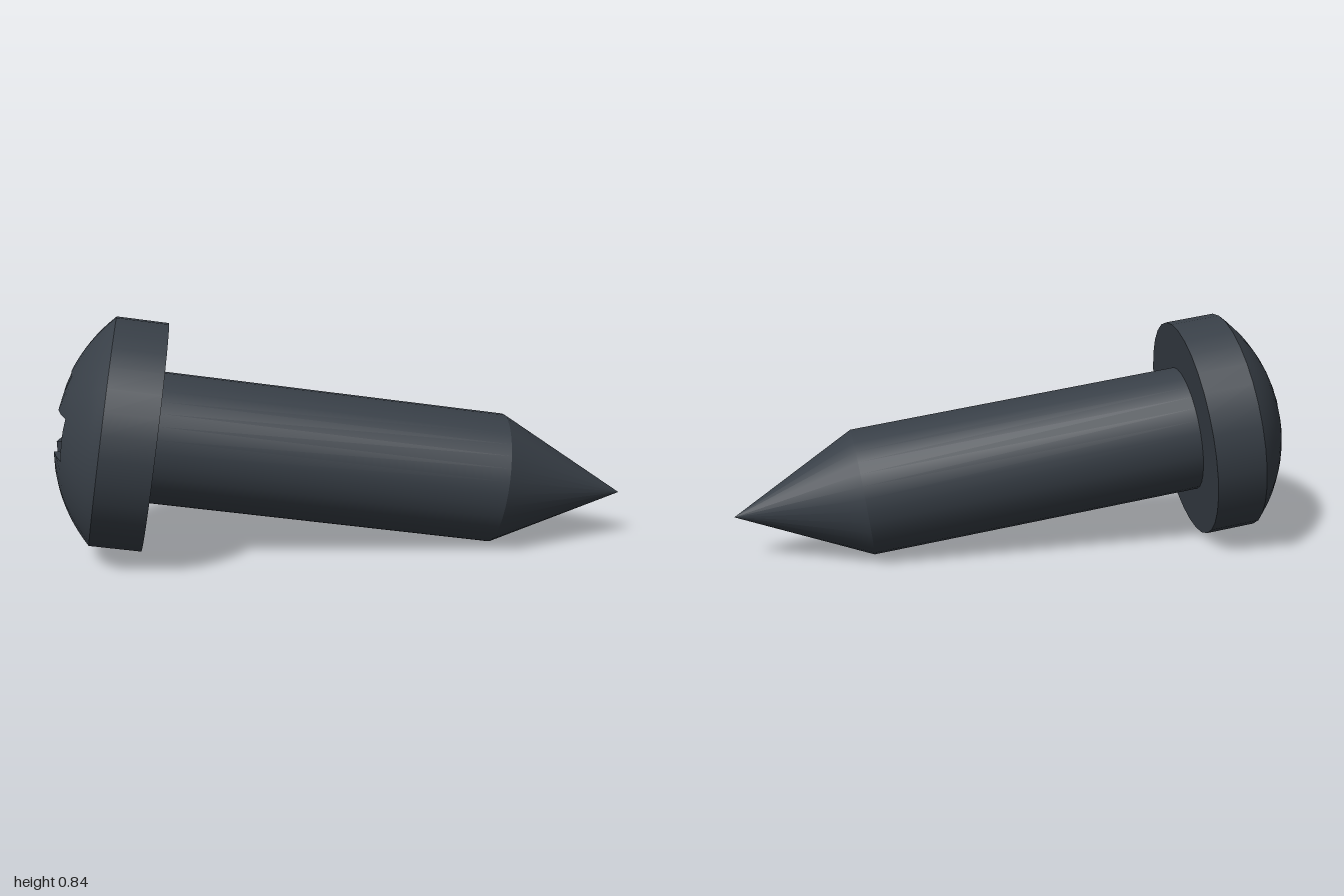
import * as THREE from 'three';

const SIDES = 32;
const TIP = new THREE.Vector3(1, 0.168, 0.322);
const AXIS = new THREE.Vector3(-0.967, 0.147, -0.208).normalize(); // tip to head

// Distances along the axis from the tip, and radii
const SHAFT_R = 0.233, HEAD_R = 0.404;
const CONE_TOP = 0.47, UNDERSIDE = 1.7, RIM = 1.882, DOME_H = 0.167;
const SPHERE_R = (HEAD_R * HEAD_R + DOME_H * DOME_H) / (2 * DOME_H);
const APEX = RIM + DOME_H;
const domeY = (x, z) => APEX - SPHERE_R + Math.sqrt(SPHERE_R ** 2 - x * x - z * z);

// Cross outline of 32 points, eight to a quarter: l = arm length, w = half width
function crossOutline(l, w) {
  const m = (l + w) / 2;
  const quarter = [[l, 0], [l, w / 2], [l, w], [m, w], [w, w], [w, m], [w, l], [w / 2, l]];
  const pts = [];
  for (let q = 0; q < 4; q++) {
    for (const [x, z] of quarter) {
      pts.push([[x, z], [-z, x], [-x, -z], [z, -x]][q]);
    }
  }
  return pts;
}

// Skin between closed loops of points, listed from the middle outwards
function loft(rings) {
  const n = rings[0].length, index = [];
  for (let j = 0; j < rings.length - 1; j++) {
    for (let k = 0; k < n; k++) {
      const a = j * n + k, b = j * n + (k + 1) % n;
      index.push(a, b, a + n, b, b + n, a + n);
    }
  }
  const geo = new THREE.BufferGeometry();
  geo.setAttribute('position', new THREE.Float32BufferAttribute(rings.flat(2), 3));
  geo.setIndex(index);
  geo.computeVertexNormals();
  return geo;
}

export function createModel() {
  const steel = new THREE.MeshStandardMaterial({ color: 0x383f47 });
  steel.name = 'dark steel';

  const screw = new THREE.Group();
  screw.name = 'screw';
  const add = (name, geo) => {
    const mesh = new THREE.Mesh(geo, steel);
    mesh.name = name;
    screw.add(mesh);
  };
  const lathe = (...pts) =>
    new THREE.LatheGeometry(pts.map(([r, y]) => new THREE.Vector2(r, y)), SIDES);

  // Turned parts, kept apart so that their edges stay sharp
  add('point', lathe([0, 0], [SHAFT_R, CONE_TOP]));
  add('shaft', lathe([SHAFT_R, CONE_TOP], [SHAFT_R, UNDERSIDE]));
  add('headUnderside', lathe([SHAFT_R, UNDERSIDE], [HEAD_R, UNDERSIDE]));
  add('headRim', lathe([HEAD_R, UNDERSIDE], [HEAD_R, RIM]));

  // Domed top with a cross-shaped opening
  const mouth = crossOutline(0.2, 0.074);
  const domeRings = [];
  const steps = 8;
  for (let j = 0; j <= steps; j++) {
    const t = j / steps;
    domeRings.push(mouth.map(([mx, mz], k) => {
      const a = (k / SIDES) * Math.PI * 2;
      const x = mx + (HEAD_R * Math.cos(a) - mx) * t;
      const z = mz + (HEAD_R * Math.sin(a) - mz) * t;
      return [x, domeY(x, z), z];
    }));
  }
  add('headDome', loft(domeRings));

  // Drive recess: deep middle, arm floors sloping up, steep walls
  const armL = 0.185, armW = 0.064, deep = APEX - 0.2, shallow = APEX - 0.08;
  const floor = crossOutline(armL, armW);
  const clamp = (v) => THREE.MathUtils.clamp(v, -armW, armW);
  const recess = loft([
    floor.map(() => [0, deep, 0]),
    floor.map(([x, z]) => [clamp(x), deep, clamp(z)]),
    floor.map(([x, z]) => {
      const t = (Math.max(Math.abs(x), Math.abs(z)) - armW) / (armL - armW);
      return [x, deep + (shallow - deep) * t, z];
    }),
    mouth.map(([x, z]) => [x, domeY(x, z), z]),
  ]).toNonIndexed();
  recess.computeVertexNormals();
  add('driveRecess', recess);

  // Lay the screw along its tilted axis, one recess arm pointing upwards
  const up = new THREE.Vector3(0, 1, 0).addScaledVector(AXIS, -AXIS.y).normalize();
  const side = new THREE.Vector3().crossVectors(AXIS, up);
  screw.quaternion.setFromRotationMatrix(new THREE.Matrix4().makeBasis(side, AXIS, up));
  screw.position.copy(TIP);

  const model = new THREE.Group();
  model.name = 'model';
  model.add(screw);
  return model;
}
